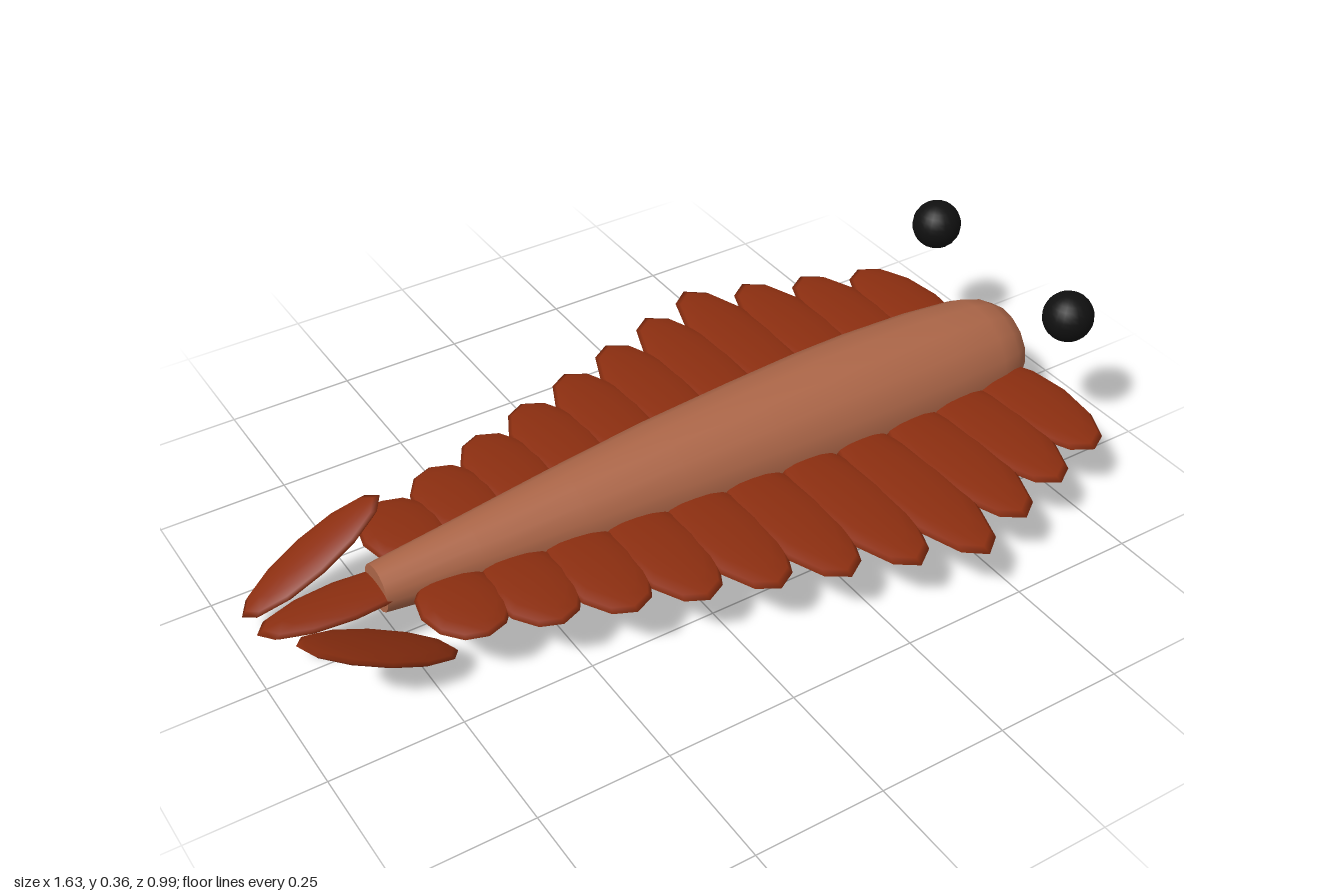
import * as THREE from 'three';

export function createModel() {
  const model = new THREE.Group();
  model.name = 'swimmer';
  const material = (name, color) => {
    const m = new THREE.MeshStandardMaterial({ color });
    m.name = name;
    return m;
  };
  const bodyColour = material('body brown', 0xac6648);
  const flapColour = material('flap rust', 0x8b2e10);
  const eyeColour = material('eye black', 0x101010);
  const midY = 0.302;

  const add = (name, geometry, mat, x, y, z) => {
    const mesh = new THREE.Mesh(geometry, mat);
    mesh.name = name;
    mesh.position.set(x, y, z);
    model.add(mesh);
    return mesh;
  };
  // Flat oval plate given by its three half sizes
  const oval = (rx, ry, rz) => new THREE.SphereGeometry(1, 12, 8).scale(rx, ry, rz);

  // Tapered body along x: [radius, x]; the doubled point keeps the tail rim sharp
  const profile = [
    [0, -0.78], [0.045, -0.78], [0.045, -0.78], [0.064, -0.6], [0.086, -0.4],
    [0.105, -0.2], [0.117, 0], [0.124, 0.15], [0.126, 0.27], [0.122, 0.42],
    [0.113, 0.53], [0.1, 0.575], [0.082, 0.605], [0.055, 0.622], [0, 0.629],
  ].map(([r, x]) => new THREE.Vector2(r, x));
  const bodyGeometry = new THREE.LatheGeometry(profile, 16).rotateZ(-Math.PI / 2);
  add('body', bodyGeometry, bodyColour, 0, midY, 0);

  // Eleven swimming flaps on each side, longest at the fourth
  for (let i = 0; i < 11; i++) {
    const x = 0.528 - i * 0.12;
    const reach = i < 3 ? 0.37 + i * 0.0425 : 0.497 - (i - 3) * 0.041;
    for (const side of [1, -1]) {
      add(side > 0 ? 'frontFlap' : 'backFlap', oval(0.079, 0.016, reach * 0.46),
        flapColour, x, midY, side * reach * 0.54);
    }
  }

  // Tail fan: a level middle blade and two blades twisted opposite ways
  for (const k of [-1, 0, 1]) {
    const blade = add('tailBlade', oval(0.16, 0.015, 0.052), flapColour, -0.84, midY, k * 0.138);
    blade.rotation.z = -k * 0.5;
  }

  // Floating round eyes
  for (const side of [1, -1]) {
    add('eye', new THREE.SphereGeometry(0.049, 20, 14), eyeColour, 0.585, 0.484, side * 0.198);
  }
  return model;
}
